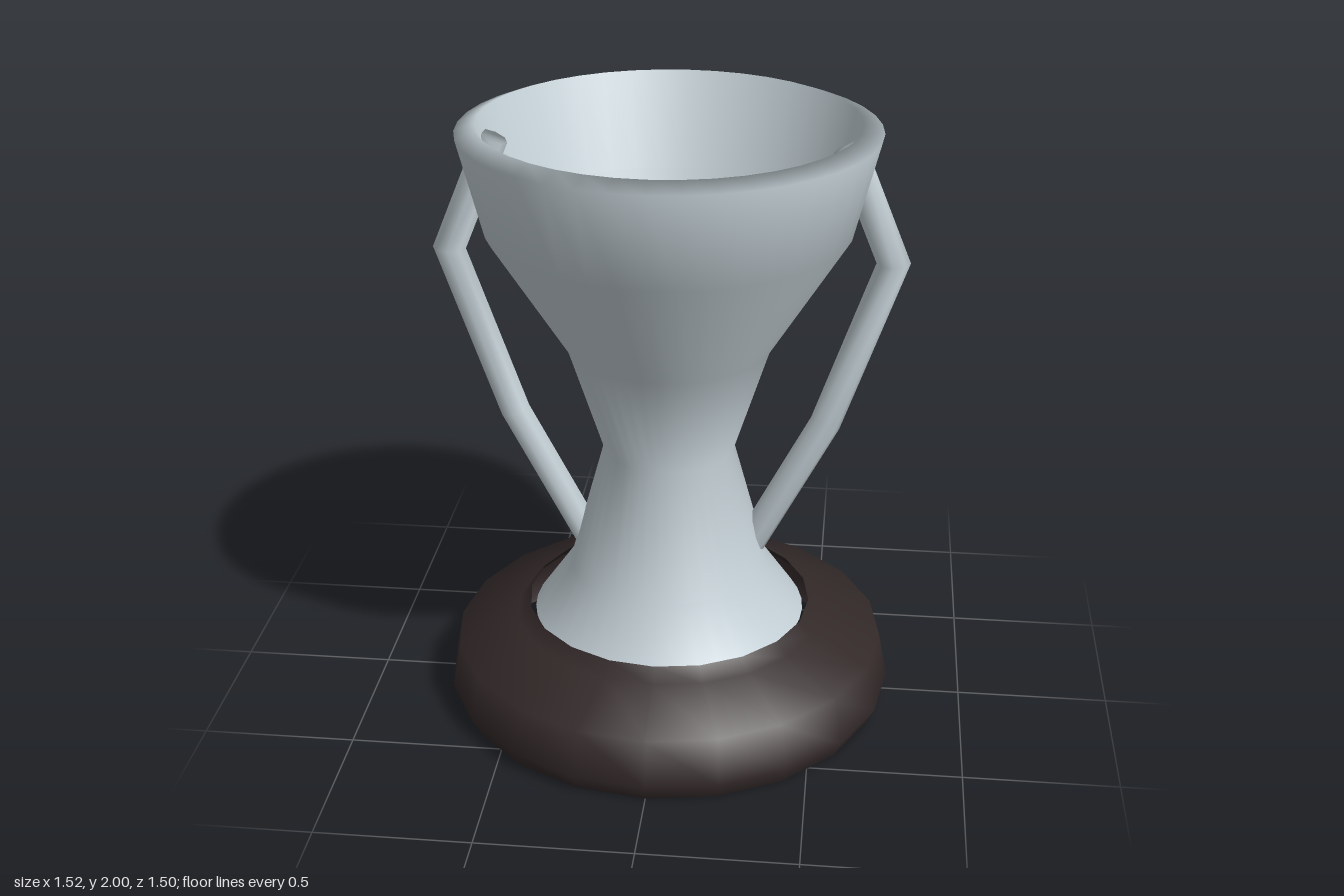
import * as THREE from 'three';

const silver = new THREE.MeshStandardMaterial({ color: 0xc4d0d6 });
silver.name = 'silver';
const darkWood = new THREE.MeshStandardMaterial({ color: 0x322828, side: THREE.DoubleSide });
darkWood.name = 'darkWood';

const lathe = (profile, segments) =>
  new THREE.LatheGeometry(profile.map(([r, y]) => new THREE.Vector2(r, y)), segments);

function mesh(name, geometry, material) {
  const m = new THREE.Mesh(geometry, material);
  m.name = name;
  return m;
}

// Round bar along a bent path in the xy plane, mitred at the bends, closed at both ends
function bentBar(path, radius, sides) {
  const pts = path.map(([x, y]) => new THREE.Vector2(x, y));
  const dirs = pts.slice(1).map((p, i) => p.clone().sub(pts[i]).normalize());
  const positions = [], index = [];
  pts.forEach((p, i) => {
    const a = dirs[Math.max(i - 1, 0)], b = dirs[Math.min(i, dirs.length - 1)];
    const t = a.clone().add(b).normalize();
    const across = radius / t.dot(a);
    for (let j = 0; j < sides; j++) {
      const angle = (j / sides) * Math.PI * 2;
      const c = Math.cos(angle) * across;
      positions.push(p.x + t.y * c, p.y - t.x * c, Math.sin(angle) * radius);
    }
  });
  for (let i = 0; i < pts.length - 1; i++) {
    for (let j = 0; j < sides; j++) {
      const a = i * sides + j, b = i * sides + ((j + 1) % sides);
      index.push(a, a + sides, b, b, a + sides, b + sides);
    }
  }
  const last = (pts.length - 1) * sides;
  for (let j = 1; j < sides - 1; j++) {
    index.push(0, j, j + 1, last, last + j + 1, last + j);
  }
  const g = new THREE.BufferGeometry();
  g.setAttribute('position', new THREE.Float32BufferAttribute(positions, 3));
  g.setIndex(index);
  g.computeVertexNormals();
  return g;
}

export function createModel() {
  const group = new THREE.Group();
  group.name = 'trophyCup';

  // Open, hollow base shell
  group.add(mesh('base', lathe([
    [0.72, 0], [0.75, 0.06], [0.72, 0.215], [0.515, 0.29], [0.475, 0.335],
  ], 20), darkWood));

  // Outer wall and sloping rim, then the inner wall back down through the waist
  group.add(mesh('cup', lathe([
    [0.455, 0.3], [0.33, 0.48], [0.215, 0.9], [0.33, 1.26], [0.58, 1.66],
    [0.66, 1.975], [0.595, 2],
    [0.53, 1.68], [0.3, 1.28], [0.187, 0.9], [0.3, 0.47], [0.45, 0.3],
  ], 40), silver));

  // Two bent handles, the upper ends passing through the wall
  const handlePath = [[0.27, 0.54], [0.51, 1.0], [0.705, 1.56], [0.552, 1.93]];
  const bar = bentBar(handlePath, 0.05, 8);
  const leftHandle = mesh('leftHandle', bar, silver);
  const rightHandle = mesh('rightHandle', bar, silver);
  rightHandle.rotation.y = Math.PI;
  group.add(leftHandle, rightHandle);

  return group;
}
